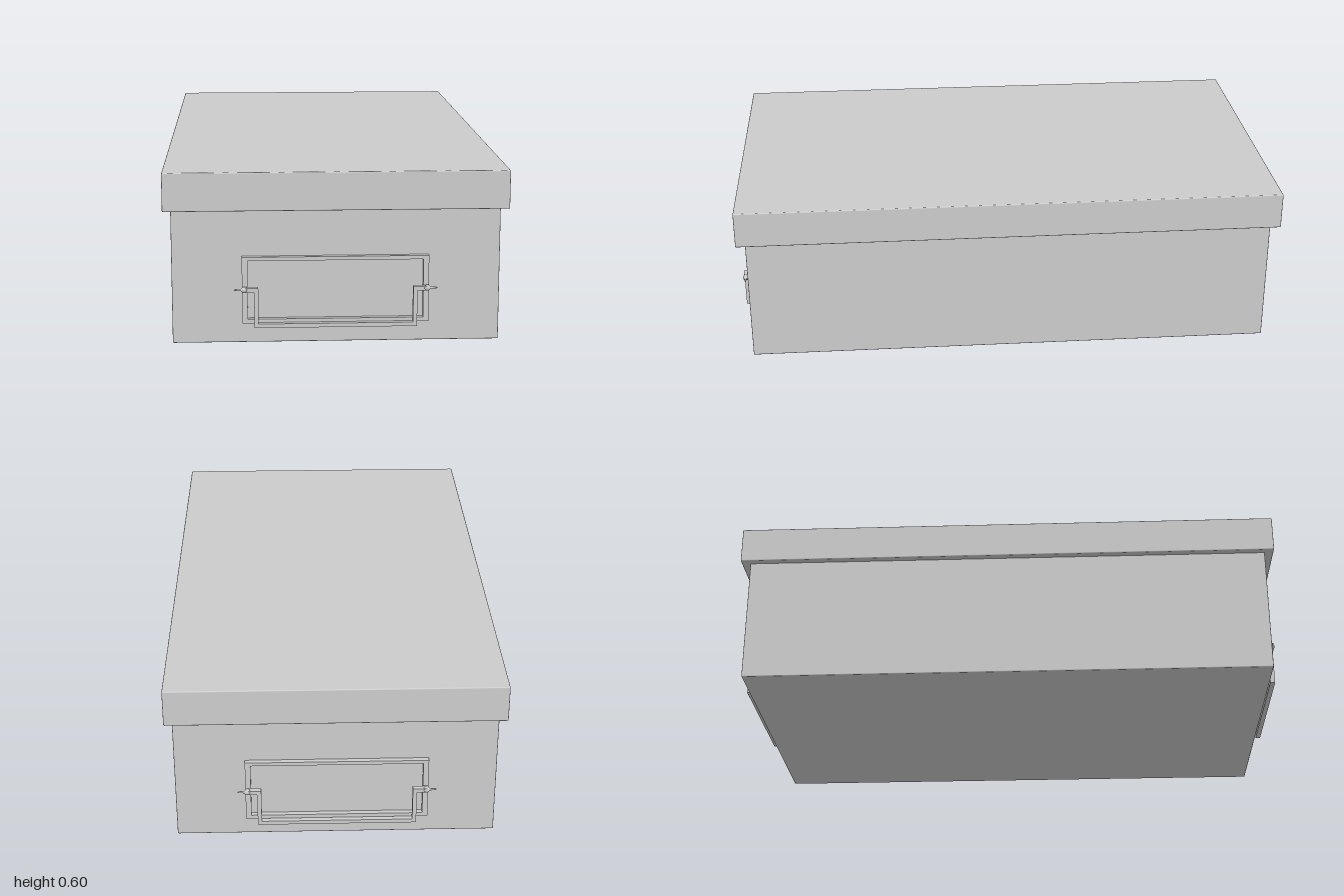
import * as THREE from 'three';
import { RoundedBoxGeometry } from 'three/addons/geometries/RoundedBoxGeometry.js';

const material = new THREE.MeshStandardMaterial({ color: 0xcccccc });

function add(parent, name, geometry, x = 0, y = 0, z = 0) {
  const mesh = new THREE.Mesh(geometry, material);
  mesh.name = name;
  mesh.position.set(x, y, z);
  parent.add(mesh);
  return mesh;
}

const shapeFrom = (points) => new THREE.Shape(points.map(([x, y]) => new THREE.Vector2(x, y)));

// Mirrors a half outline (right side, x > 0) into a closed symmetric one
const symmetric = (half) => shapeFrom([...half, ...half.map(([x, y]) => [-x, y]).reverse()]);

const extrude = (shape, depth) => new THREE.ExtrudeGeometry(shape, { depth, bevelEnabled: false });

function createHandle() {
  const handle = new THREE.Group();

  // Flat rectangular plate frame against the box wall
  const frame = symmetric([[0.317, 0.073], [0.317, 0.304]]);
  frame.holes.push(symmetric([[0.298, 0.088], [0.298, 0.291]]));
  add(handle, 'handleFrame', extrude(frame, 0.02), 0, 0, 0.955);

  // Hanging U-shaped pull whose ends turn outward to the pivots
  const pull = symmetric([
    [0.276, 0.063], [0.276, 0.187], [0.31, 0.187],
    [0.31, 0.202], [0.262, 0.202], [0.262, 0.077],
  ]);
  add(handle, 'handlePull', extrude(pull, 0.018), 0, 0, 0.979);

  // Pivot pins: a small collar tapering outward to a point
  const profile = [[0, 0], [0.008, 0], [0.0105, 0.007], [0.0105, 0.014], [0.004, 0.021], [0.003, 0.04], [0, 0.046]]
    .map(([r, h]) => new THREE.Vector2(r, h));
  for (const side of [-1, 1]) {
    const pin = add(handle, side > 0 ? 'leftPin' : 'rightPin',
      new THREE.LatheGeometry(profile, 12), side * 0.3, 0.195, 0.9895);
    pin.rotation.z = -side * Math.PI / 2;

    // Short lug joining each pivot to the frame
    add(handle, 'pivotLug', new THREE.BoxGeometry(0.012, 0.012, 0.028), side * 0.307, 0.195, 0.977);
  }
  return handle;
}

export function createModel() {
  const box = new THREE.Group();
  box.name = 'storageBox';

  // Box body and overhanging lid, with barely softened edges
  add(box, 'body', new RoundedBoxGeometry(1.114, 0.5, 1.914, 2, 0.004), 0, 0.252, 0);
  add(box, 'lid', new RoundedBoxGeometry(1.166, 0.132, 1.978, 2, 0.004), 0, 0.531, 0);

  // One handle on each end
  for (const end of ['front', 'back']) {
    const handle = createHandle();
    handle.name = end + 'Handle';
    handle.position.x = -0.003;
    if (end === 'back') handle.rotation.y = Math.PI;
    box.add(handle);
  }
  return box;
}
